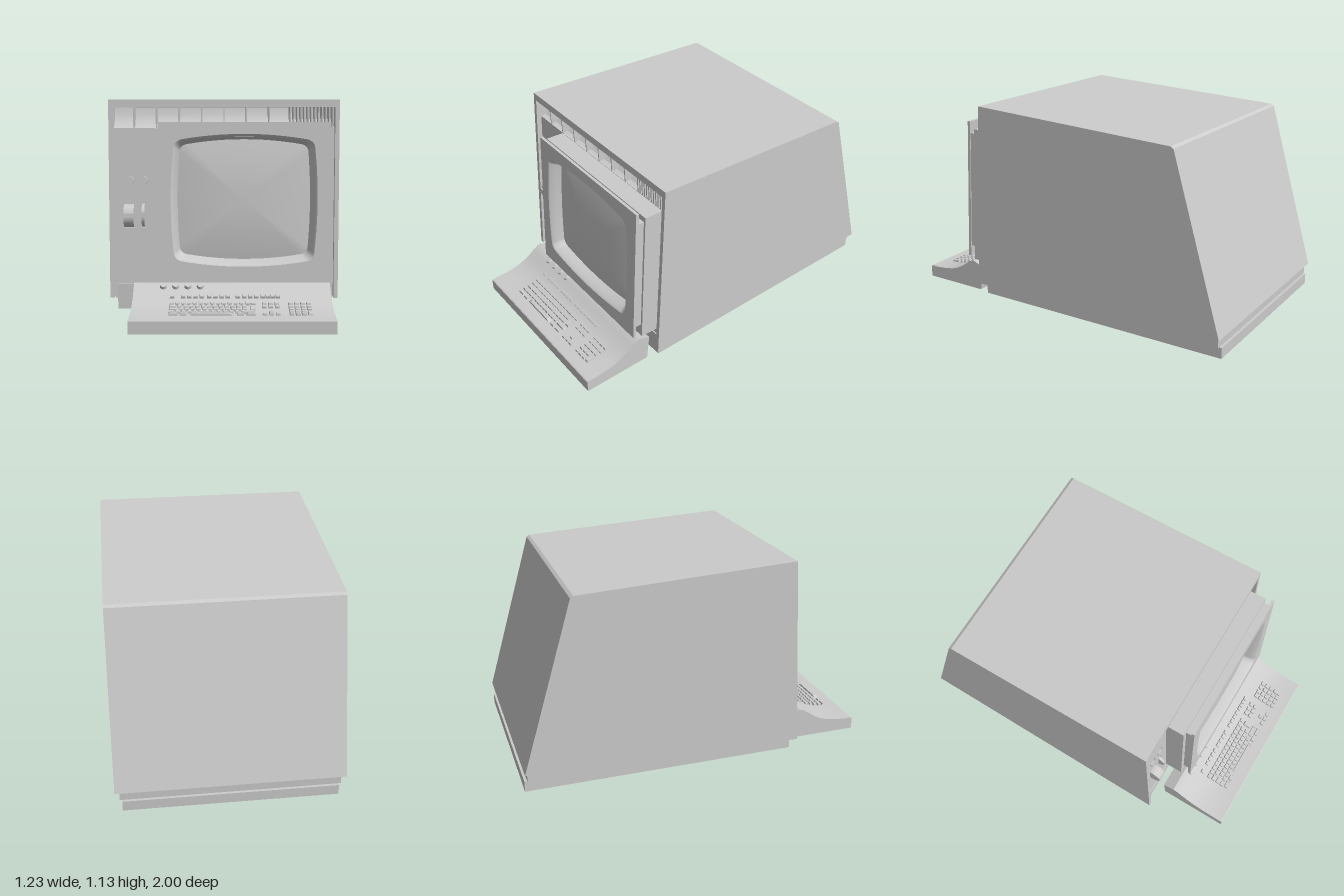
import * as THREE from 'three';
import { toCreasedNormals } from 'three/addons/utils/BufferGeometryUtils.js';

const mat = new THREE.MeshStandardMaterial({ color: 0xcccccc, side: THREE.DoubleSide });
const flat = new THREE.MeshStandardMaterial({ color: 0xcccccc, flatShading: true });

function add(parent, name, geometry, material = mat) {
  const mesh = new THREE.Mesh(geometry, material);
  mesh.name = name;
  parent.add(mesh);
  return mesh;
}

// Side profile of [z, y] points, extruded from x0 to x1
function slab(points, x0, x1) {
  const shape = new THREE.Shape(points.map(([z, y]) => new THREE.Vector2(-z, y)));
  const g = new THREE.ExtrudeGeometry(shape, { depth: x1 - x0, bevelEnabled: false });
  return toCreasedNormals(g.rotateY(Math.PI / 2).translate(x0, 0, 0), 0.45);
}

function box(x0, x1, y0, y1, z0, z1) {
  return new THREE.BoxGeometry(x1 - x0, y1 - y0, z1 - z0)
    .translate((x0 + x1) / 2, (y0 + y1) / 2, (z0 + z1) / 2);
}

const rect = ([x0, x1, y0, y1]) =>
  [[x0, y0], [x1, y0], [x1, y1], [x0, y1]].map(([x, y]) => new THREE.Vector2(x, y));

// Rectangular plate with holes given as point loops
function plate(outer, holes, z0, z1) {
  const shape = new THREE.Shape(rect(outer));
  holes.forEach(h => shape.holes.push(new THREE.Path(h)));
  return new THREE.ExtrudeGeometry(shape, { depth: z1 - z0, bevelEnabled: false }).translate(0, 0, z0);
}

// Picture-tube outline: a rounded rectangle with bulging sides
function tubeOutline(hw, hh, kx, ky) {
  const pts = [], r = 0.1, c = 1 - r;
  const corners = [[c, c], [-c, c], [-c, -c], [c, -c]];
  corners.forEach(([cu, cv], q) => {
    for (let i = 0; i <= 6; i++) {
      const a = (q + i / 6) * Math.PI / 2;
      pts.push([cu + r * Math.cos(a), cv + r * Math.sin(a)]);
    }
    const [u, v] = pts[pts.length - 1], [nu, nv] = corners[(q + 1) % 4];
    const a = (q + 1) * Math.PI / 2, eu = nu + r * Math.cos(a), ev = nv + r * Math.sin(a);
    for (let i = 1; i < 12; i++) pts.push([u + (eu - u) * i / 12, v + (ev - v) * i / 12]);
  });
  return pts.map(([u, v]) => new THREE.Vector2(
    0.105 + u * hw * (1 - kx * v * v), 0.61 + v * hh * (1 - ky * u * u)));
}

// Skin through rings of 3D points, outer ring first
function loft(rings) {
  const n = rings[0].length, index = [];
  for (let r = 0; r + 1 < rings.length; r++)
    for (let i = 0; i < n; i++) {
      const a = r * n + i, b = r * n + (i + 1) % n;
      index.push(a, b, b + n, a, b + n, a + n);
    }
  const g = new THREE.BufferGeometry().setFromPoints(rings.flat());
  g.setIndex(index);
  g.computeVertexNormals();
  return g;
}

function buildHousing(root) {
  const g = new THREE.Group();
  g.name = 'housing';
  root.add(g);
  const side = [[0.51, 1.135], [-0.705, 1.073], [-0.722, 1.062], [-1, 0.115], [0.566, 0.068]];
  add(g, 'rightWall', slab(side, -0.615, -0.592));
  add(g, 'leftWall', slab(side, 0.592, 0.615));
  add(g, 'topAndBackWall', slab([[0.51, 1.135], [-0.705, 1.073], [-0.722, 1.062], [-1, 0.115],
    [-0.975, 0.115], [-0.705, 1.04], [0.512, 1.095]], -0.592, 0.592));
  // Open base ring with a neck rising into the housing
  for (const s of [-1, 1]) {
    add(g, 'baseSide', box(s * 0.565 - 0.012, s * 0.565 + 0.012, 0, 0.06, -1, 0.535));
    add(g, 'baseNeckSide', slab([[0.53, 0.06], [0.53, 0.085], [-0.985, 0.125], [-0.985, 0.06]],
      s * 0.572 - 0.018, s * 0.572 + 0.018));
  }
  add(g, 'baseBack', box(-0.575, 0.575, 0, 0.06, -1, -0.975));
  add(g, 'baseNeckBack', box(-0.57, 0.57, 0.06, 0.12, -0.985, -0.96));
  add(g, 'baseFront', box(-0.575, 0.572, 0, 0.14, 0.512, 0.537));
}

function buildFace(root) {
  // Everything on the leaning front plane; local z = 0 is the housing's front edge
  const g = new THREE.Group();
  g.name = 'face';
  g.position.z = 0.569;
  g.rotation.x = -0.052;
  root.add(g);

  const wells = [[-0.535, -0.483, 0.675, 0.728], [-0.46, -0.408, 0.675, 0.728],
    [-0.54, -0.48, 0.445, 0.58], [-0.446, -0.425, 0.445, 0.58]];
  add(g, 'frontPanel', plate([-0.592, 0.592, 0.075, 0.985],
    [rect([-0.34, 0.545, 0.205, 0.96]), ...wells.map(rect)], -0.045, -0.03));
  wells.forEach(([x0, x1, y0, y1], i) => {
    add(g, 'controlWell', box(x0 - 0.004, x1 + 0.004, y0 - 0.004, y1 + 0.004, -0.1, i < 2 ? -0.046 : -0.085));
    const x = (x0 + x1) / 2, y = (y0 + y1) / 2;
    if (i < 2) {
      add(g, 'roundButton', new THREE.CylinderGeometry(0.023, 0.023, 0.035, 24)
        .rotateX(Math.PI / 2).translate(x, y, -0.036));
    } else {
      const z = i === 2 ? -0.03 : -0.058;
      add(g, 'thumbwheel', new THREE.CylinderGeometry(0.062, 0.062, x1 - x0 - 0.006, 32)
        .rotateZ(Math.PI / 2).translate(x, y, z));
      add(g, 'thumbwheelRidge', box(x0 + 0.003, x1 - 0.003, y + 0.005, y + 0.02, z, z + 0.066));
    }
  });

  // Air scoops along the top, with fine fins at the left end
  add(g, 'ventScoop', slab([[-0.03, 0.982], [-0.06, 0.99], [-0.09, 1.02], [-0.108, 1.055], [-0.115, 1.095],
    [-0.125, 1.095], [-0.118, 1.05], [-0.1, 1.01], [-0.065, 0.975], [-0.045, 0.97]], -0.592, 0.592));
  const fin = (x, w) => add(g, 'ventFin', slab([[-0.03, 0.985], [-0.022, 1.098], [-0.118, 1.098],
    [-0.1, 1.02], [-0.06, 0.985]], x - w / 2, x + w / 2));
  for (let i = 0; i < 7; i++) fin(-0.482 + i * 0.1205, 0.007);
  for (let i = 0; i < 13; i++) fin(0.355 + i * 0.019, 0.008);

  // Stepped monitor surround
  add(g, 'monitorBox', plate([-0.36, 0.562, 0.185, 0.983], [rect([-0.335, 0.537, 0.21, 0.958])], -0.045, 0.068));
  add(g, 'monitorBoxFront', plate([-0.36, 0.562, 0.185, 0.983], [rect([-0.28, 0.49, 0.275, 0.94])], 0.068, 0.077));
  add(g, 'monitorCollar', plate([-0.33, 0.55, 0.262, 0.952], [rect([-0.29, 0.5, 0.27, 0.945])], 0.077, 0.115));
  const rim = tubeOutline(0.383, 0.348, 0.05, 0.1);
  const inner = tubeOutline(0.35, 0.318, 0.04, 0.1);
  add(g, 'bezelPlate', plate([-0.34, 0.555, 0.195, 1.02], [rim], 0.113, 0.13));

  const blend = (t, z) => rim.map((p, i) => {
    const q = p.clone().lerp(inner[i], t);
    return new THREE.Vector3(q.x, q.y, z);
  });
  add(g, 'bezelFunnel', loft([blend(0, 0.13), blend(0.3, 0.122), blend(0.7, 0.095), blend(1, 0.06)]));
  const glass = [];
  for (let i = 0; i <= 8; i++) {
    const s = 1 - i / 8;
    glass.push(inner.map(p => new THREE.Vector3(
      0.105 + (p.x - 0.105) * s, 0.61 + (p.y - 0.61) * s, 0.062 + 0.03 * (1 - s * s))));
  }
  add(g, 'screenGlass', loft(glass));
}

function buildKeyboard(root) {
  const g = new THREE.Group();
  g.name = 'keyboard';
  root.add(g);
  const top = [[1, 0.066], [0.995, 0.07], [0.94, 0.071], [0.88, 0.076], [0.83, 0.085], [0.79, 0.097],
    [0.745, 0.119], [0.7, 0.15], [0.67, 0.17], [0.65, 0.175], [0.585, 0.147]];
  const outer = [[1, 0], ...top, [0.602, 0]];
  const lining = [[0.614, 0], [0.6, 0.138],
    ...top.slice(2, -1).reverse().map(([z, y]) => [z, y - 0.013]), [0.988, 0.055], [0.988, 0]];
  add(g, 'keyboardCase', slab([...outer, ...lining], -0.463, 0.548));
  add(g, 'keyboardRightEnd', slab(outer, -0.475, -0.463));
  add(g, 'keyboardLeftEnd', slab(outer, 0.548, 0.56));

  // Height and slope of the curved deck at a given z
  const deck = z => {
    const i = top.findIndex((p, k) => k > 0 && p[0] <= z);
    const [za, ya] = top[i - 1], [zb, yb] = top[i];
    const slope = (yb - ya) / (zb - za);
    return { y: ya + slope * (z - za), tilt: Math.atan(-slope) };
  };
  const place = (name, geometry, x, z, lift) => {
    const m = add(g, name, geometry, flat), d = deck(z);
    m.position.set(x, d.y + lift, z);
    m.rotation.x = d.tilt;
    return m;
  };
  const cap = new THREE.CylinderGeometry(0.55, 0.7, 1, 4).rotateY(Math.PI / 4);
  const key = (x, z, w = 0.025, d = 0.024) => place('key', cap, x, z, 0.005).scale.set(w, 0.014, d);
  const run = (x0, n, z, pitch = 0.03) => {
    for (let i = 0; i < n; i++) key(x0 + i * pitch, z);
  };

  // Separate row of keys at the back
  run(-0.27, 1, 0.745);
  for (const x of [-0.212, -0.076, 0.073, 0.202]) run(x, 4, 0.745, x > 0.1 ? 0.026 : 0.032);
  // Main block
  run(-0.27, 15, 0.795);
  key(-0.263, 0.825, 0.04); run(-0.226, 12, 0.825); key(0.147, 0.84, 0.03, 0.054);
  key(-0.26, 0.855, 0.045); run(-0.218, 12, 0.855, 0.0295);
  key(-0.267, 0.885, 0.032); run(-0.233, 11, 0.885); key(0.124, 0.885, 0.075);
  key(-0.255, 0.915, 0.05); key(-0.205, 0.915, 0.035); key(-0.06, 0.915, 0.23);
  key(0.085, 0.915, 0.035); key(0.137, 0.915, 0.05);
  // Editing keys, arrows and number pad
  run(0.207, 3, 0.795, 0.033); run(0.207, 3, 0.825, 0.033);
  key(0.24, 0.885); run(0.207, 3, 0.915, 0.033);
  for (let r = 0; r < 5; r++) run(0.343, r > 2 ? 3 : 4, 0.795 + r * 0.03, 0.031);
  key(0.436, 0.9, 0.025, 0.054);

  // Round knobs on the steep upper slope
  const knob = new THREE.CylinderGeometry(0.016, 0.021, 0.022, 20);
  for (let i = 0; i < 4; i++) place('knob', knob, -0.318 + i * 0.0645, 0.686, 0.005);
}

export function createModel() {
  const root = new THREE.Group();
  root.name = 'computerTerminal';
  buildHousing(root);
  buildFace(root);
  buildKeyboard(root);
  return root;
}
